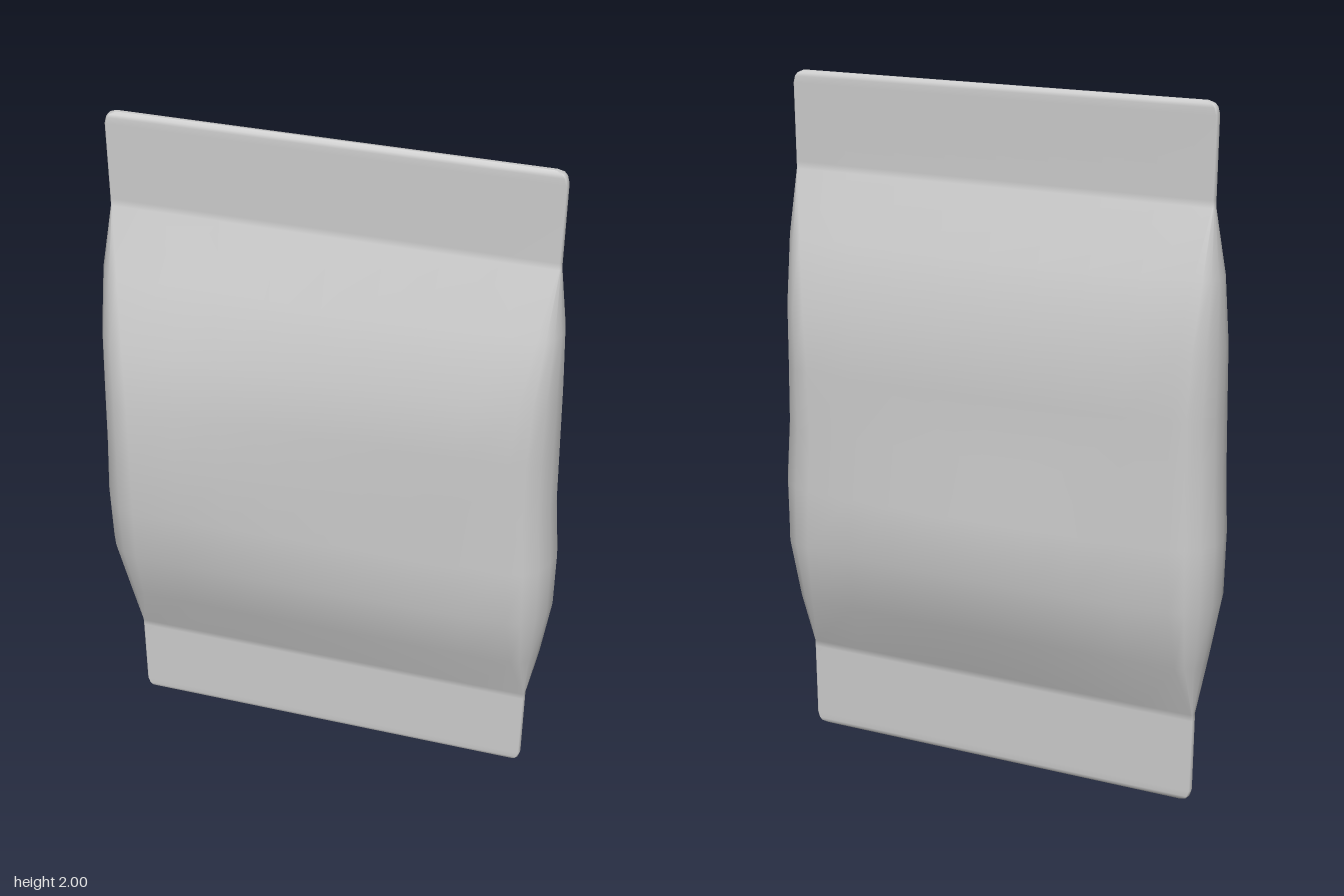
import * as THREE from 'three';

const MID_Z = -0.01; // plane of the flat seals

// Horizontal stations of the pouch:
// y, left edge, right edge, gusset inset, front z (left, middle, right), back z (left, middle, right)
const seal = (y, w, t) => [y, w, w, 0.006, ...Array(3).fill(MID_Z + t), ...Array(3).fill(MID_Z - t)];
const STATIONS = [
  seal(0, 0.572, 0.005),
  seal(0.007, 0.588, 0.011),
  seal(0.016, 0.595, 0.013),
  seal(0.034, 0.6, 0.013),
  seal(0.26, 0.6, 0.013),
  seal(0.28, 0.6, 0.014),
  [0.45, 0.63, 0.63, 0.07, 0.07, 0.07, 0.065, -0.09, -0.1, -0.095],
  [0.64, 0.66, 0.655, 0.11, 0.13, 0.125, 0.115, -0.135, -0.155, -0.14],
  [0.82, 0.66, 0.655, 0.12, 0.153, 0.13, 0.117, -0.132, -0.155, -0.142],
  [1.0, 0.65, 0.64, 0.115, 0.158, 0.13, 0.115, -0.13, -0.137, -0.14],
  [1.18, 0.645, 0.635, 0.11, 0.152, 0.13, 0.117, -0.13, -0.138, -0.14],
  [1.36, 0.642, 0.63, 0.095, 0.125, 0.12, 0.113, -0.125, -0.133, -0.133],
  [1.55, 0.63, 0.622, 0.06, 0.067, 0.067, 0.065, -0.085, -0.085, -0.085],
  seal(1.73, 0.6, 0.014),
  seal(1.75, 0.6, 0.013),
  seal(1.966, 0.6, 0.013),
  seal(1.984, 0.595, 0.013),
  seal(1.993, 0.588, 0.011),
  seal(2, 0.572, 0.005),
];

// Smooth blend through the left, middle and right depth
function across(l, m, r, t) {
  return l * (1 - t) * (1 - 2 * t) + 4 * m * t * (1 - t) + r * t * (2 * t - 1);
}

// Closed ring around the pouch: front panel, right gusset, back panel, left gusset
function ring([y, wl, wr, inset, fl, fm, fr, bl, bm, br]) {
  const points = [];
  const cols = 8, arc = 8;
  const xl = -wl + inset, xr = wr - inset;
  for (let i = 0; i <= cols; i++) {
    const t = i / cols;
    points.push([xl + (xr - xl) * t, y, across(fl, fm, fr, t)]);
  }
  const gusset = (x, reach, from, to) => {
    for (let i = 1; i < arc; i++) {
      const a = (i / arc) * Math.PI;
      const end = i < arc / 2 ? from : to;
      points.push([x + reach * Math.sin(a), y, MID_Z + (end - MID_Z) * Math.abs(Math.cos(a))]);
    }
  };
  gusset(xr, inset, fr, br);
  for (let i = cols; i >= 0; i--) {
    const t = i / cols;
    points.push([xl + (xr - xl) * t, y, across(bl, bm, br, t)]);
  }
  gusset(xl, -inset, bl, fl);
  return points;
}

function loft(rings) {
  const n = rings[0].length;
  const position = rings.flat(2);
  const index = [];
  for (let i = 0; i < rings.length - 1; i++) {
    for (let j = 0; j < n; j++) {
      const k = (j + 1) % n;
      const a = i * n + j, b = i * n + k;
      index.push(a, b, b + n, a, b + n, a + n);
    }
  }
  // Close the narrow bottom and top edges
  const bottom = rings.length * n, top = bottom + 1, last = bottom - n;
  position.push(0, rings[0][0][1], MID_Z, 0, rings[rings.length - 1][0][1], MID_Z);
  for (let j = 0; j < n; j++) {
    const k = (j + 1) % n;
    index.push(bottom, k, j, top, last + j, last + k);
  }
  const geometry = new THREE.BufferGeometry();
  geometry.setAttribute('position', new THREE.Float32BufferAttribute(position, 3));
  geometry.setIndex(index);
  geometry.computeVertexNormals();
  return geometry;
}

export function createModel() {
  const group = new THREE.Group();
  group.name = 'sealedPouch';
  const material = new THREE.MeshStandardMaterial({ color: 0xcccccc });

  // Puffed body and flat end seals in one continuous skin
  const pouch = new THREE.Mesh(loft(STATIONS.map(ring)), material);
  pouch.name = 'pouch';
  group.add(pouch);
  return group;
}
